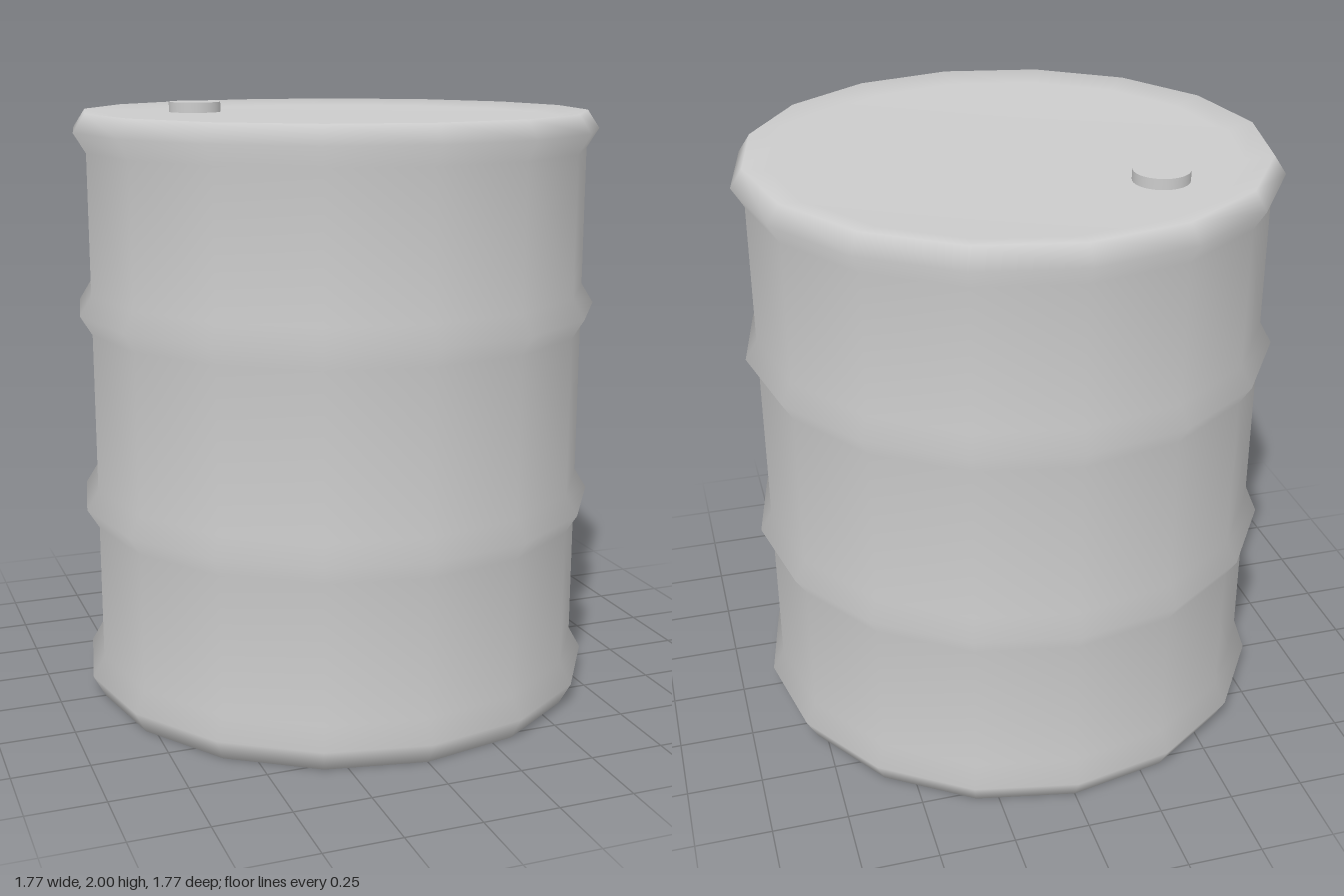
import * as THREE from 'three';

export function createModel() {
  const model = new THREE.Group();
  const material = new THREE.MeshStandardMaterial({ color: 0xcccccc });
  const wall = 0.845, ridge = 0.885;

  // Drum shell: flat base, four raised hoops, slightly sunken lid
  const profile = [[0, 0], [wall, 0], [ridge, 0.075], [wall, 0.145]];
  for (const y of [0.675, 1.335]) {
    profile.push([wall, y - 0.065], [ridge, y], [wall, y + 0.065]);
  }
  profile.push([wall, 1.86], [ridge, 1.925], [wall, 1.985], [0.75, 1.965], [0, 1.965]);
  const points = profile.map(([r, y]) => new THREE.Vector2(r, y));
  const drum = new THREE.Mesh(new THREE.LatheGeometry(points, 16), material);
  drum.name = 'drum';
  model.add(drum);

  // Filler cap on the lid
  const cap = new THREE.Mesh(new THREE.CylinderGeometry(0.09, 0.09, 0.05, 32), material);
  cap.name = 'fillerCap';
  cap.position.set(-0.38, 1.975, -0.385);
  model.add(cap);

  return model;
}
